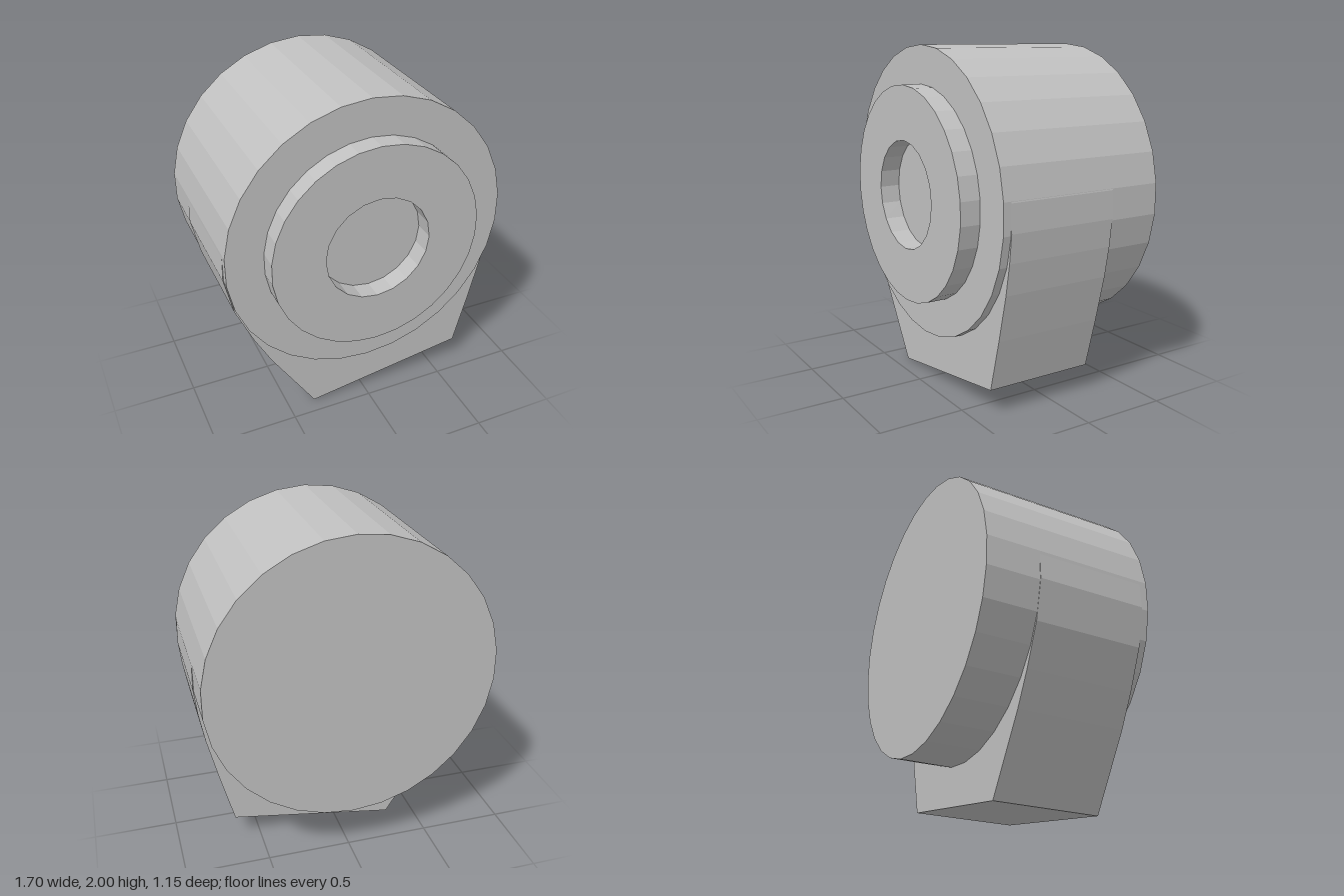
import * as THREE from 'three';

const AXIS_Y = 1.15;

// Regular polygon outline with a corner at the top
function circlePoints(radius, sides) {
  return Array.from({ length: sides }, (_, i) => {
    const a = Math.PI / 2 + (i / sides) * Math.PI * 2;
    return new THREE.Vector2(Math.cos(a) * radius, AXIS_Y + Math.sin(a) * radius);
  });
}

export function createModel() {
  const group = new THREE.Group();
  const grey = new THREE.MeshStandardMaterial({ color: 0xc0c0c0, flatShading: true });
  grey.name = 'plainGrey';

  // Extrude a shape along z between two depths
  function addSlab(name, shape, back, front) {
    const geometry = new THREE.ExtrudeGeometry(shape, { depth: front - back, bevelEnabled: false });
    geometry.translate(0, 0, back);
    const mesh = new THREE.Mesh(geometry, grey);
    mesh.name = name;
    group.add(mesh);
  }

  // Main round housing
  addSlab('drum', new THREE.Shape(circlePoints(0.85, 30)), -0.575, 0.455);

  // Raised front collar with a round recess
  const collar = new THREE.Shape(circlePoints(0.63, 30));
  collar.holes.push(new THREE.Path(circlePoints(0.317, 20)));
  addSlab('frontCollar', collar, 0.455, 0.575);

  // Tilted foot whose flanks blend into the drum
  const foot = [
    [-0.335, 0], [0.655, 0.155], [0.735, 0.46], [0.8, 0.73], [0.832, 0.91],
    [0.85, 1.07], [0.847, 1.23], [0.805, 1.4], [-0.8, 1.4], [-0.845, 1.23],
    [-0.85, 1.07], [-0.8, 0.84], [-0.7, 0.61], [-0.6, 0.42],
  ].map(([x, y]) => new THREE.Vector2(x, y));
  addSlab('foot', new THREE.Shape(foot), -0.255, 0.408);

  return group;
}
